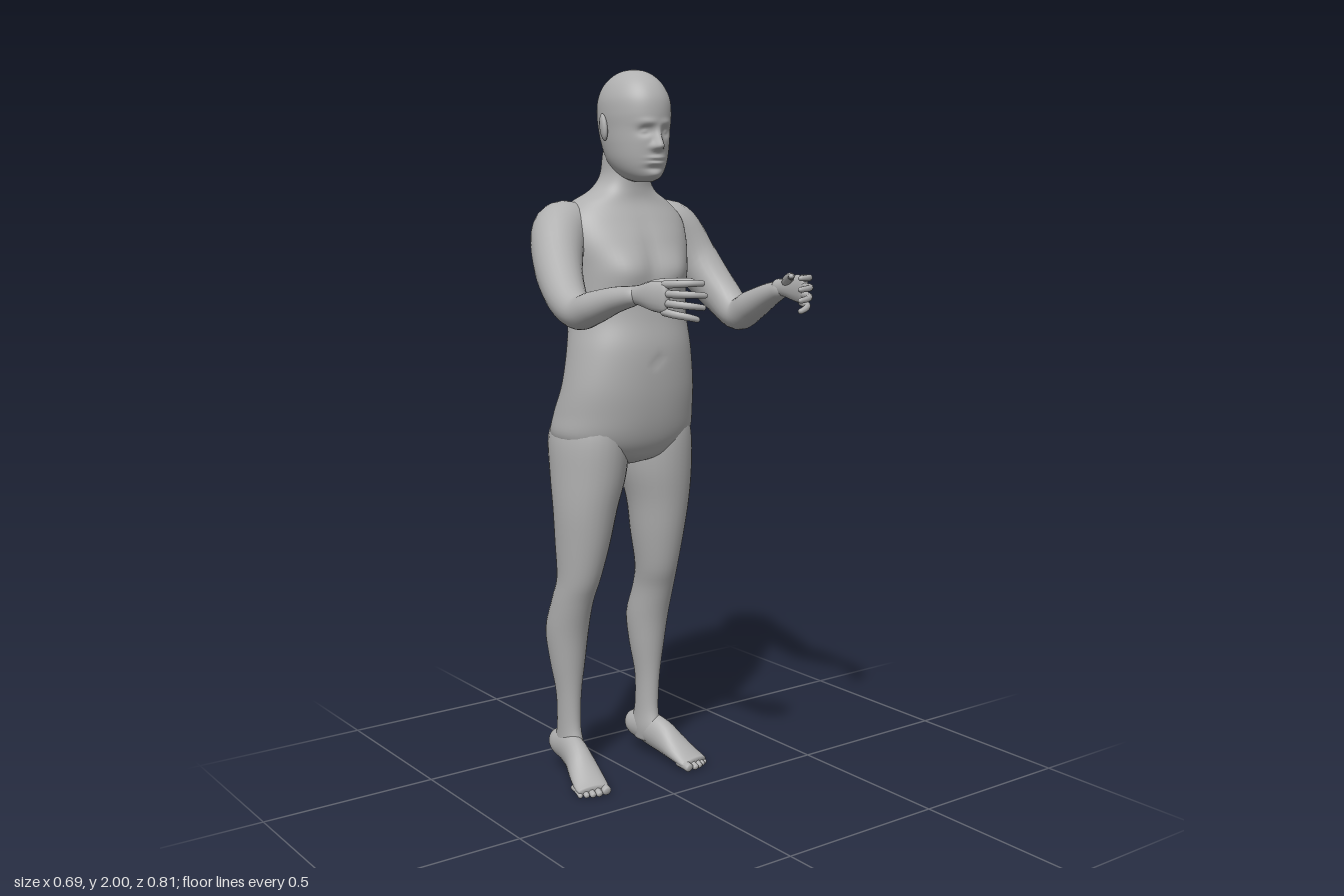
import * as THREE from 'three';

const skin = new THREE.MeshStandardMaterial({ color: 0xb0b0b0 });
skin.name = 'grey skin';

const bump = (d, w) => Math.exp(-(d * d) / (w * w));
const spow = (v, e) => Math.sign(v) * Math.abs(v) ** e;

// Smooth interpolation through the rows of a table, t from 0 to 1
function sampleRows(rows, t) {
  const f = t * (rows.length - 1);
  const i = Math.min(Math.floor(f), rows.length - 2), k = f - i;
  const at = (j) => rows[Math.max(0, Math.min(rows.length - 1, j))];
  return rows[0].map((_, c) => {
    const [a, b, d, e] = [at(i - 1)[c], at(i)[c], at(i + 1)[c], at(i + 2)[c]];
    return b + 0.5 * k * (d - a + k * (2 * a - 5 * b + 4 * d - e + k * (3 * (b - d) + e - a)));
  });
}

// Closed skin over a list of rings, capped at both ends
function skinRings(rings) {
  const n = rings[0].length, pos = [], idx = [];
  rings.forEach((r) => r.forEach((p) => pos.push(p.x, p.y, p.z)));
  for (let i = 0; i < rings.length - 1; i++) {
    for (let j = 0; j < n; j++) {
      const a = i * n + j, b = i * n + ((j + 1) % n);
      idx.push(a, a + n, b, b, a + n, b + n);
    }
  }
  [0, rings.length - 1].forEach((ri) => {
    const c = new THREE.Vector3();
    rings[ri].forEach((p) => c.addScaledVector(p, 1 / n));
    const centre = pos.length / 3;
    pos.push(c.x, c.y, c.z);
    for (let j = 0; j < n; j++) {
      const a = ri * n + j, b = ri * n + ((j + 1) % n);
      if (ri === 0) idx.push(centre, a, b); else idx.push(centre, b, a);
    }
  });
  const g = new THREE.BufferGeometry();
  g.setAttribute('position', new THREE.Float32BufferAttribute(pos, 3));
  g.setIndex(idx);
  g.computeVertexNormals();
  return g;
}

function add(parent, name, geometry) {
  const m = new THREE.Mesh(geometry, skin);
  m.name = name;
  parent.add(m);
  return m;
}

// Upright body part. Rows go up: [y, centre x, half width, front z, back z]
function upright(rows, segs, steps, rule = () => {}, power = 2.2) {
  const rings = [];
  for (let i = 0; i <= steps; i++) {
    const [y, cx, hw, zf, zb] = sampleRows(rows, i / steps);
    const ring = [];
    for (let j = 0; j < segs; j++) {
      const a = (j / segs) * Math.PI * 2, s = Math.sin(a);
      const p = new THREE.Vector3(cx + hw * spow(Math.cos(a), 2 / power), y,
        (zf + zb) / 2 + ((zf - zb) / 2) * spow(s, 2 / power));
      rule(p, s);
      ring.push(p);
    }
    rings.push(ring);
  }
  return skinRings(rings);
}

// Round-ended limb. Rows along its path: [x, y, z, side radius, vertical radius]
function limb(rows, segs = 16, steps = 28, cap = 0.06) {
  const rings = [], up = new THREE.Vector3(0, 1, 0);
  const point = (t) => new THREE.Vector3(...sampleRows(rows, t).slice(0, 3));
  for (let i = 0; i <= steps; i++) {
    const t = (1 - Math.cos((Math.PI * i) / steps)) / 2;
    const row = sampleRows(rows, t), c = point(t);
    const dir = point(Math.min(1, t + 0.01)).sub(point(Math.max(0, t - 0.01))).normalize();
    const u = up.clone().cross(dir).normalize(), v = u.clone().cross(dir);
    const e = Math.min(1, Math.min(t, 1 - t) / cap);
    const k = Math.max(0.05, Math.sqrt(1 - (1 - e) ** 2));
    rings.push(Array.from({ length: segs }, (_, j) => {
      const a = (j / segs) * Math.PI * 2;
      return c.clone().addScaledVector(u, Math.cos(a) * row[3] * k).addScaledVector(v, Math.sin(a) * row[4] * k);
    }));
  }
  return skinRings(rings);
}

// Chest, navel, spine and seat modelling
function torsoRule(p, s) {
  const x = p.x - 0.008, y = p.y;
  if (s > 0) {
    p.z += s * (0.016 * bump(Math.abs(x) - 0.085, 0.05) * bump(y - 1.46, 0.05)
      - 0.008 * bump(x, 0.025) * bump(y - 1.5, 0.08) - 0.008 * bump(x, 0.01) * bump(y - 1.22, 0.012));
  } else {
    p.z -= s * (0.014 * bump(x, 0.03) * bump(y - 1.38, 0.17) + 0.04 * bump(x, 0.022) * bump(y - 0.98, 0.075));
    p.z += s * 0.01 * bump(Math.abs(x) - 0.1, 0.05) * bump(y - 1.52, 0.07);
  }
}

// Brow, eyes, nose, lips and chin
function faceRule(p, s) {
  if (s <= 0) return;
  const x = p.x - 0.011, ax = Math.abs(x), y = p.y;
  const ny = y < 1.792 ? bump(y - 1.792, 0.009) : bump(y - 1.792, 0.035);
  p.z += s * (0.026 * bump(x, 0.009 + 0.007 * bump(y - 1.79, 0.015)) * ny
    + 0.005 * bump(ax - 0.03, 0.025) * bump(y - 1.855, 0.01)
    - 0.012 * bump(ax - 0.034, 0.017) * bump(y - 1.833, 0.013)
    + 0.006 * bump(ax - 0.034, 0.009) * bump(y - 1.832, 0.006)
    + 0.008 * bump(x, 0.024) * (bump(y - 1.763, 0.005) + bump(y - 1.749, 0.005))
    - 0.004 * bump(x, 0.03) * bump(y - 1.735, 0.006)
    + 0.006 * bump(x, 0.022) * bump(y - 1.718, 0.01));
}

// Palm, four curled fingers and a thumb; side is +1 for the left hand
function hand(parent, side, wrist) {
  const g = new THREE.Group();
  g.name = side > 0 ? 'leftHand' : 'rightHand';
  g.position.set(...wrist);
  parent.add(g);
  const place = (rows) => rows.map(([x, ...rest]) => [-side * x, ...rest]);
  add(g, 'palm', limb(place([[0, 0, -0.03, 0.02, 0.021], [0, 0, 0.01, 0.018, 0.025],
    [0.003, 0, 0.06, 0.017, 0.036], [0.012, -0.003, 0.108, 0.012, 0.037]]), 16, 20, 0.1));
  for (let f = 0; f < 4; f++) {
    const y = 0.028 - 0.021 * f, len = [0.94, 1, 0.96, 0.82][f];
    add(g, 'finger', limb(place([[0.01, y, 0.085, 0.01, 0.01],
      [0.02, y + 0.003 - 0.003 * f, 0.09 + 0.04 * len, 0.0095, 0.0095],
      [0.048, y + 0.005 - 0.006 * f, 0.09 + 0.07 * len, 0.0085, 0.0085],
      [0.01 + 0.076 * len, y + 0.004 - 0.008 * f, 0.09 + 0.074 * len, 0.007, 0.007]]), 10, 16, 0.1));
  }
  add(g, 'thumb', limb(place([[0.002, 0.012, 0.015, 0.013, 0.015], [0.022, 0.026, 0.05, 0.013, 0.014],
    [0.048, 0.034, 0.09, 0.01, 0.01], [0.078, 0.036, 0.126, 0.007, 0.007]]), 10, 16, 0.1));
}

// Leg, foot and toes; the lower legs drift slightly towards -x
function leg(parent, side) {
  const g = new THREE.Group();
  g.name = side > 0 ? 'leftLeg' : 'rightLeg';
  parent.add(g);
  const drift = (y) => -0.011 * Math.max(0, Math.min(1, (0.9 - y) / 0.3));
  const rows = [
    [0.05, 0.11, 0.16, -0.27, -0.36], [0.09, 0.105, 0.167, -0.25, -0.372], [0.15, 0.108, 0.167, -0.266, -0.356],
    [0.25, 0.105, 0.173, -0.265, -0.352], [0.35, 0.09, 0.189, -0.255, -0.37], [0.44, 0.082, 0.199, -0.24, -0.38],
    [0.53, 0.084, 0.197, -0.212, -0.347], [0.6, 0.075, 0.194, -0.185, -0.325], [0.7, 0.055, 0.203, -0.162, -0.335],
    [0.8, 0.038, 0.212, -0.145, -0.345], [0.9, 0.012, 0.216, -0.13, -0.372], [1.0, 0.006, 0.211, -0.122, -0.39],
    [1.07, 0.02, 0.185, -0.13, -0.365], [1.12, 0.06, 0.15, -0.16, -0.31],
  ].map(([y, a, b, zf, zb]) => [y, (side * (a + b)) / 2 + drift(y), (b - a) / 2, zf, zb]);
  add(g, 'legBody', upright(rows, 28, 52, undefined, 2));
  const place = (list) => list.map(([x, ...rest]) => [side * x - 0.011, ...rest]);
  add(g, 'foot', limb(place([[0.135, 0.083, -0.388, 0.026, 0.03], [0.136, 0.085, -0.36, 0.034, 0.041],
    [0.14, 0.085, -0.31, 0.034, 0.05], [0.15, 0.072, -0.25, 0.037, 0.05], [0.163, 0.046, -0.19, 0.046, 0.033],
    [0.174, 0.026, -0.14, 0.049, 0.019], [0.178, 0.021, -0.118, 0.045, 0.014]]), 24, 32, 0.05));
  for (let i = 0; i < 5; i++) {
    const x = 0.143 + [0, 0.024, 0.042, 0.058, 0.073][i], r = i === 0 ? 0.014 : 0.0105 - 0.0007 * i;
    const tip = -0.1 - [0, 0, 0.005, 0.013, 0.023][i];
    add(g, 'toe', limb(place([[x - 0.003, 0.022, tip - 0.055, r, r], [x, 0.02, tip - 0.025, r, r],
      [x + 0.002, r + 0.001, tip, r, r * 0.9]]), 10, 14, 0.15));
  }
}

export function createModel() {
  const body = new THREE.Group();
  body.name = 'standingFigure';

  add(body, 'torsoAndNeck', upright([
    [0.92, 0, 0.02, -0.2, -0.28], [0.94, 0, 0.1, -0.145, -0.335], [0.97, 0, 0.18, -0.12, -0.382],
    [1.01, 0, 0.211, -0.102, -0.4], [1.07, 0, 0.207, -0.088, -0.388], [1.15, 0, 0.196, -0.078, -0.354],
    [1.25, 0.003, 0.181, -0.075, -0.354], [1.33, 0.008, 0.17, -0.086, -0.372], [1.4, 0.008, 0.173, -0.092, -0.384],
    [1.47, 0.01, 0.18, -0.095, -0.395], [1.54, 0.01, 0.194, -0.12, -0.397], [1.6, 0.012, 0.19, -0.152, -0.385],
    [1.645, 0.012, 0.15, -0.175, -0.36], [1.68, 0.012, 0.092, -0.18, -0.335], [1.72, 0.013, 0.067, -0.177, -0.315],
    [1.78, 0.012, 0.062, -0.17, -0.302], [1.82, 0.012, 0.05, -0.18, -0.29],
  ], 72, 96, torsoRule));

  add(body, 'head', upright([
    [1.7, 0.011, 0.02, -0.125, -0.18], [1.71, 0.011, 0.043, -0.106, -0.215], [1.73, 0.011, 0.062, -0.096, -0.25],
    [1.76, 0.011, 0.076, -0.09, -0.278], [1.8, 0.011, 0.084, -0.086, -0.297], [1.84, 0.011, 0.088, -0.084, -0.309],
    [1.88, 0.011, 0.091, -0.08, -0.315], [1.92, 0.011, 0.088, -0.085, -0.312], [1.955, 0.011, 0.074, -0.104, -0.297],
    [1.98, 0.011, 0.053, -0.132, -0.268], [1.994, 0.011, 0.03, -0.162, -0.236], [2.0, 0.011, 0.002, -0.197, -0.201],
  ], 96, 110, faceRule, 2.05));

  for (const side of [1, -1]) {
    const ear = add(body, side > 0 ? 'leftEar' : 'rightEar', new THREE.SphereGeometry(1, 16, 12));
    ear.scale.set(0.01, 0.037, 0.021);
    ear.position.set(0.011 + side * 0.093, 1.845, -0.207);
    ear.rotation.set(-0.2, side * 0.35, 0);
    leg(body, side);
  }

  // Arms reach forward with bent elbows, the right one further out
  add(body, 'leftArm', limb([[0.12, 1.575, -0.29, 0.07, 0.06], [0.2, 1.572, -0.29, 0.078, 0.078],
    [0.258, 1.48, -0.25, 0.066, 0.07], [0.293, 1.385, -0.17, 0.053, 0.056], [0.3, 1.335, -0.1, 0.046, 0.047],
    [0.293, 1.36, -0.03, 0.043, 0.044], [0.28, 1.395, 0.06, 0.033, 0.033], [0.268, 1.42, 0.14, 0.022, 0.022]], 24, 56));
  add(body, 'rightArm', limb([[-0.1, 1.575, -0.285, 0.07, 0.06], [-0.178, 1.57, -0.275, 0.077, 0.077],
    [-0.242, 1.485, -0.19, 0.066, 0.07], [-0.287, 1.405, -0.08, 0.054, 0.054], [-0.3, 1.37, 0, 0.045, 0.045],
    [-0.3, 1.385, 0.07, 0.042, 0.042], [-0.293, 1.41, 0.16, 0.032, 0.032], [-0.283, 1.425, 0.245, 0.022, 0.022]], 24, 56));
  hand(body, 1, [0.268, 1.42, 0.13]);
  hand(body, -1, [-0.283, 1.425, 0.237]);
  return body;
}
